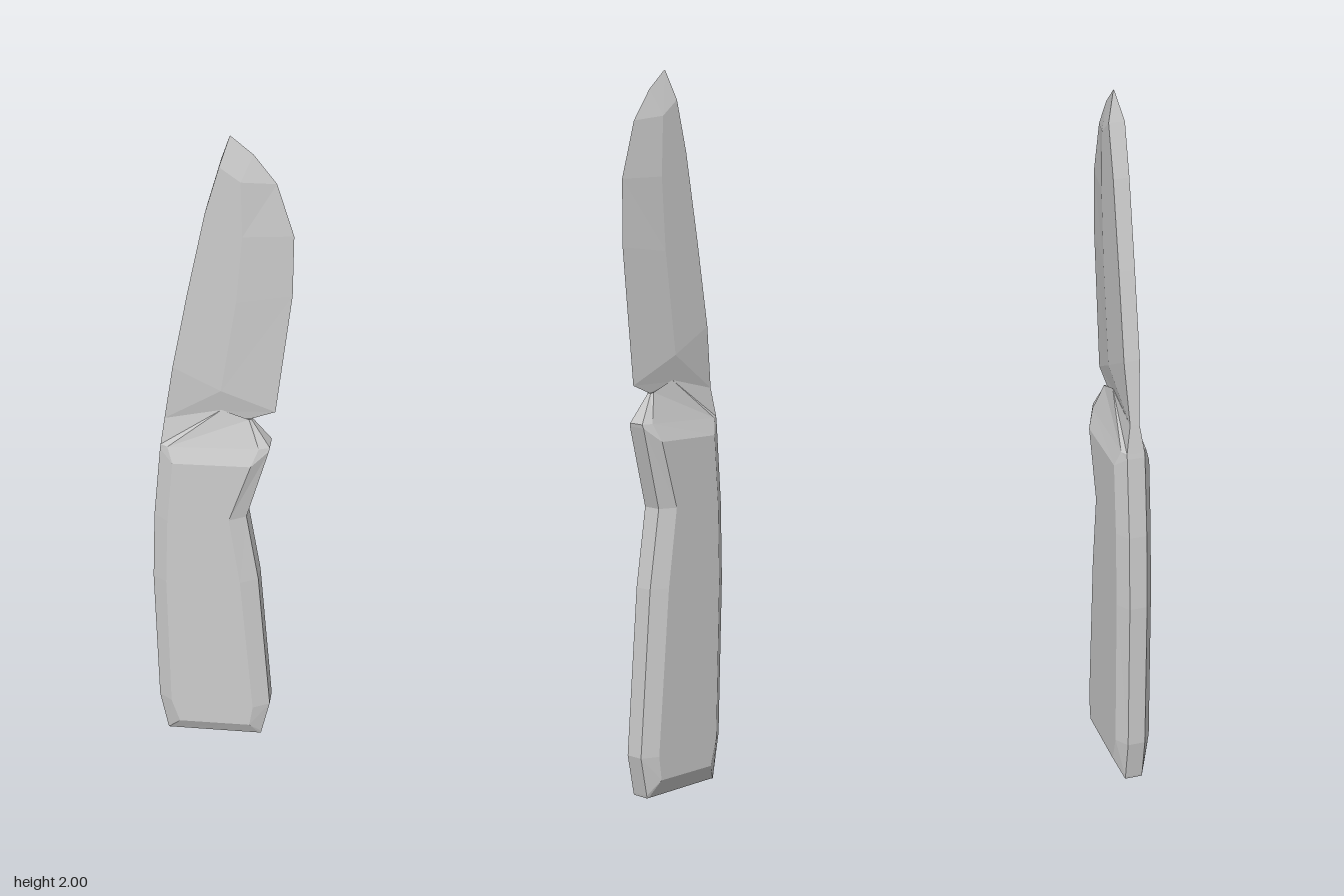
import * as THREE from 'three';

// Lofts rows of front points [x, y, z], ordered -x to +x, mirrored to the back in z.
function loft(name, rows) {
  const rings = rows.map(row => [
    ...row.map(p => new THREE.Vector3(...p)),
    ...[...row].reverse().map(([x, y, z]) => new THREE.Vector3(x, y, -z)),
  ]);
  const pos = [];
  const tri = (a, b, c) => {
    const area = b.clone().sub(a).cross(c.clone().sub(a)).length();
    if (area > 1e-7) for (const p of [a, b, c]) pos.push(p.x, p.y, p.z);
  };
  const n = rings[0].length;
  for (let i = 0; i < rings.length - 1; i++) {
    for (let j = 0; j < n; j++) {
      const k = (j + 1) % n, lo = rings[i], hi = rings[i + 1];
      // mirrored diagonals keep front and back alike
      if (j < n / 2) {
        tri(lo[j], lo[k], hi[k]);
        tri(lo[j], hi[k], hi[j]);
      } else {
        tri(lo[j], lo[k], hi[j]);
        tri(lo[k], hi[k], hi[j]);
      }
    }
  }
  // end caps
  const first = rings[0], last = rings[rings.length - 1];
  for (let j = 1; j < n - 1; j++) {
    tri(first[0], first[j + 1], first[j]);
    tri(last[0], last[j], last[j + 1]);
  }
  const geometry = new THREE.BufferGeometry();
  geometry.setAttribute('position', new THREE.Float32BufferAttribute(pos, 3));
  geometry.computeVertexNormals();
  const mesh = new THREE.Mesh(geometry, new THREE.MeshStandardMaterial({ color: 0xcccccc, flatShading: true }));
  mesh.name = name;
  return mesh;
}

export function createModel() {
  const group = new THREE.Group();
  group.name = 'foldingKnife';

  // Handle: back edge, flat face between two bevels, grip edge
  const E = 0.025, F = 0.05;
  group.add(loft('handle', [
    [[-0.155, 0, E], [-0.152, 0.002, E], [0.115, 0.01, E], [0.12, 0.01, E]],
    [[-0.157, 0.008, E], [-0.118, 0.052, F], [0.088, 0.06, F], [0.122, 0.018, E]],
    [[-0.18, 0.13, E], [-0.142, 0.13, F], [0.098, 0.13, F], [0.145, 0.13, E]],
    [[-0.192, 0.58, E], [-0.152, 0.58, F], [0.058, 0.6, F], [0.107, 0.6, E]],
    [[-0.186, 0.8, E], [-0.146, 0.8, F], [0.026, 0.82, F], [0.072, 0.82, E]],
    [[-0.167, 1.03, E], [-0.13, 1.0, F], [0.085, 1.01, F], [0.132, 1.05, E]],
    // bolster tapering towards the blade
    [[-0.165, 1.045, E], [-0.145, 1.045, 0.035], [0.105, 1.06, 0.033], [0.134, 1.06, 0.022]],
    [[-0.155, 1.125, 0.013], [0, 1.165, 0.01], [0.075, 1.14, 0.01], [0.082, 1.137, 0.005]],
  ]));

  // Blade: thick spine, ridge line, sharp edge
  const T = 0.022;
  group.add(loft('blade', [
    [[-0.155, 1.125, 0.013], [0, 1.16, 0.008], [0.08, 1.137, 0]],
    [[-0.13, 1.3, T], [0, 1.235, T], [0.145, 1.165, 0]],
    [[-0.088, 1.54, T], [0.04, 1.52, T], [0.185, 1.54, 0]],
    [[-0.042, 1.78, T], [0.055, 1.72, T], [0.186, 1.72, 0]],
    [[-0.005, 1.92, T], [0.05, 1.88, T], [0.14, 1.87, 0]],
    [[0.018, 1.995, 0.002], [0.02, 1.998, 0.001], [0.08, 1.95, 0]],
    [[0.02, 2, 0], [0.02, 2, 0], [0.02, 2, 0]],
  ]));
  return group;
}
